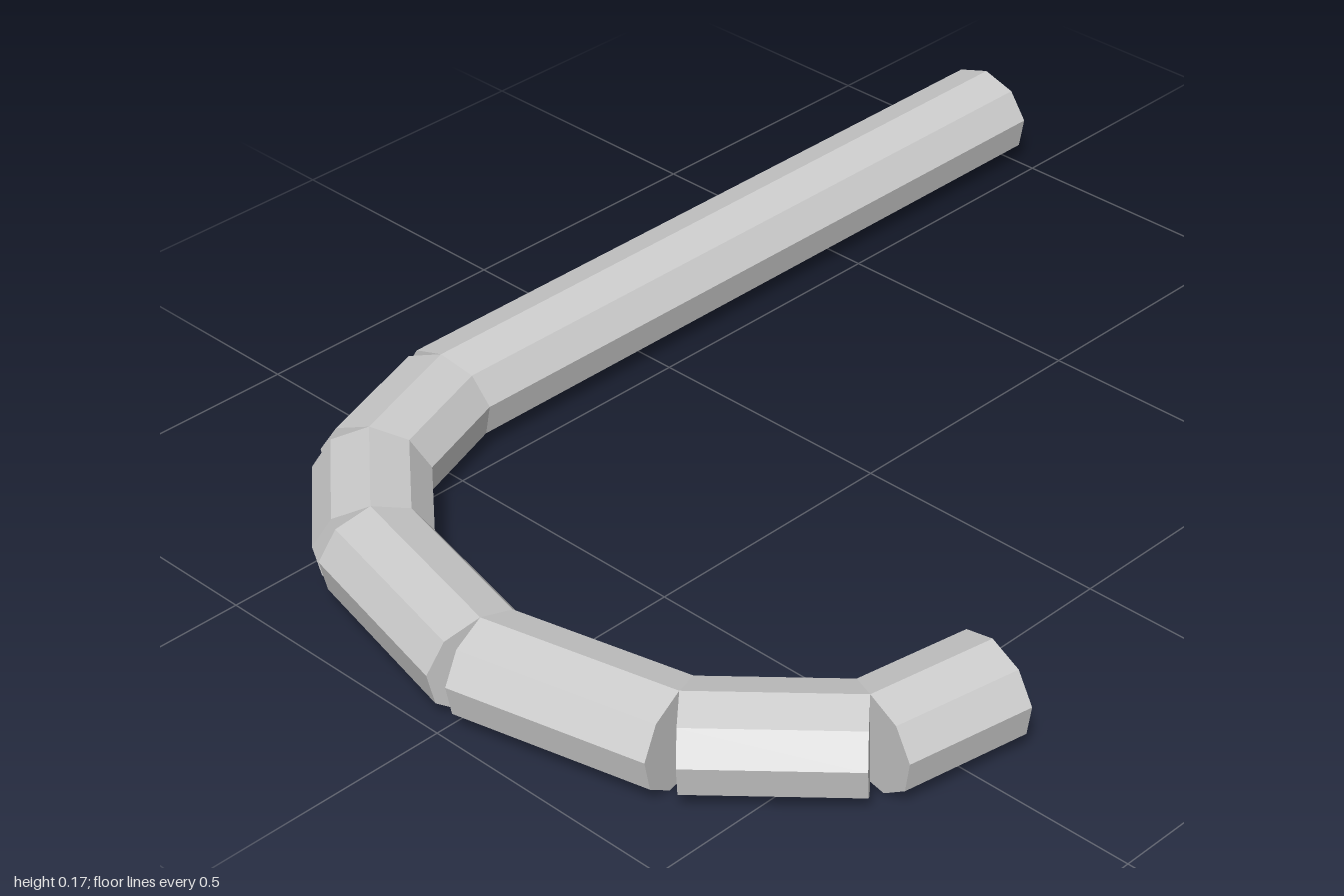
import * as THREE from 'three';

const HALF_WIDTH = 0.1025, HALF_HEIGHT = 0.088, SIDES = 9;
const AXIS_Y = HALF_HEIGHT * Math.cos(Math.PI / SIDES);

// Centre line (x, z) from the end of the long handle, round the hook, to its tip
const PATH = [
  [-0.625, -1], [-0.625, 0.425], [-0.542, 0.66], [-0.36, 0.813],
  [0, 0.896], [0.363, 0.815], [0.582, 0.622], [0.624, 0.388],
];

// Capped oval bar between two points, one corner pointing up
function bar(start, end, material) {
  const geometry = new THREE.CylinderGeometry(1, 1, start.distanceTo(end), SIDES);
  geometry.rotateX(-Math.PI / 2);
  geometry.scale(HALF_WIDTH, HALF_HEIGHT, 1);
  const mesh = new THREE.Mesh(geometry, material);
  mesh.position.copy(start).add(end).multiplyScalar(0.5);
  mesh.lookAt(end);
  return mesh;
}

export function createModel() {
  const group = new THREE.Group();
  group.name = 'hookedCane';
  const material = new THREE.MeshStandardMaterial({ color: 0xcccccc, flatShading: true });
  const points = PATH.map(([x, z]) => new THREE.Vector3(x, AXIS_Y, z));

  // Straight shaft first, then the separate bars of the bend
  for (let i = 0; i < points.length - 1; i++) {
    const mesh = bar(points[i], points[i + 1], material);
    mesh.name = i === 0 ? 'shaft' : `hookSegment${i}`;
    group.add(mesh);
  }
  return group;
}
